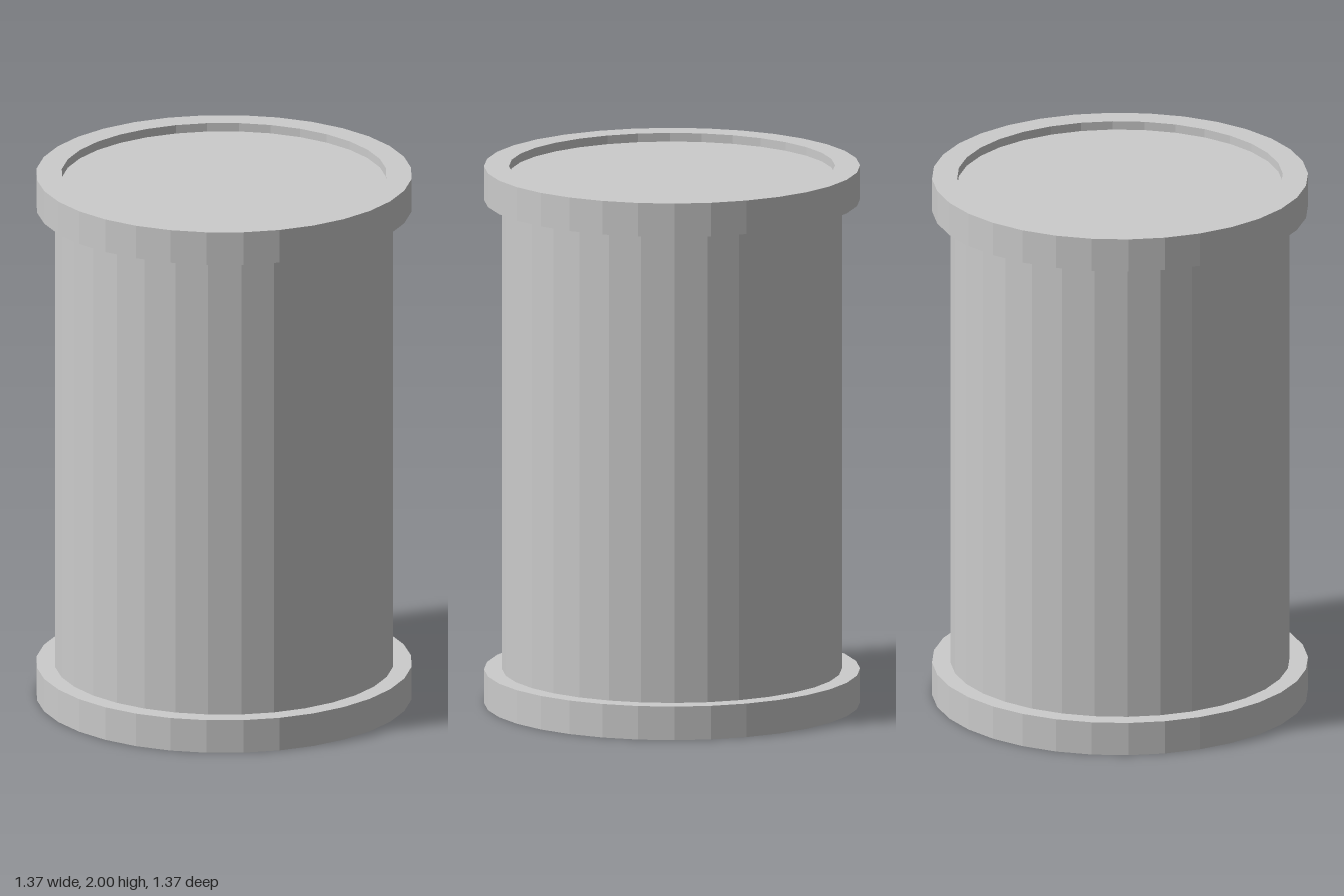
import * as THREE from 'three';

const SIDES = 32;
const HEIGHT = 2;
const RIM = { outer: 0.687, inner: 0.595, height: 0.125 };
const BODY_RADIUS = 0.62;
const RECESS = 0.032;

const material = new THREE.MeshStandardMaterial({ color: 0xcccccc, flatShading: true });

function addMesh(parent, name, geometry, y) {
  const mesh = new THREE.Mesh(geometry, material);
  mesh.name = name;
  mesh.position.y = y;
  parent.add(mesh);
}

export function createModel() {
  const group = new THREE.Group();
  group.name = 'canister';

  // Wall between the two rims
  const wallHeight = HEIGHT - 2 * RIM.height;
  addMesh(group, 'body', new THREE.CylinderGeometry(BODY_RADIUS, BODY_RADIUS, wallHeight, SIDES, 1, true), HEIGHT / 2);

  // Lid profile, from the outer underside over the rim and down to the recessed panel
  const profile = [
    [BODY_RADIUS, 0],
    [RIM.outer, 0],
    [RIM.outer, RIM.height],
    [RIM.inner, RIM.height],
    [RIM.inner, RIM.height - RECESS],
    [0, RIM.height - RECESS],
  ].map(([r, y]) => new THREE.Vector2(r, y));
  const topLid = new THREE.LatheGeometry(profile, SIDES);
  addMesh(group, 'topLid', topLid, HEIGHT - RIM.height);

  // The bottom lid is the same piece turned upside down
  addMesh(group, 'bottomLid', topLid.clone().rotateX(Math.PI), RIM.height);

  return group;
}
